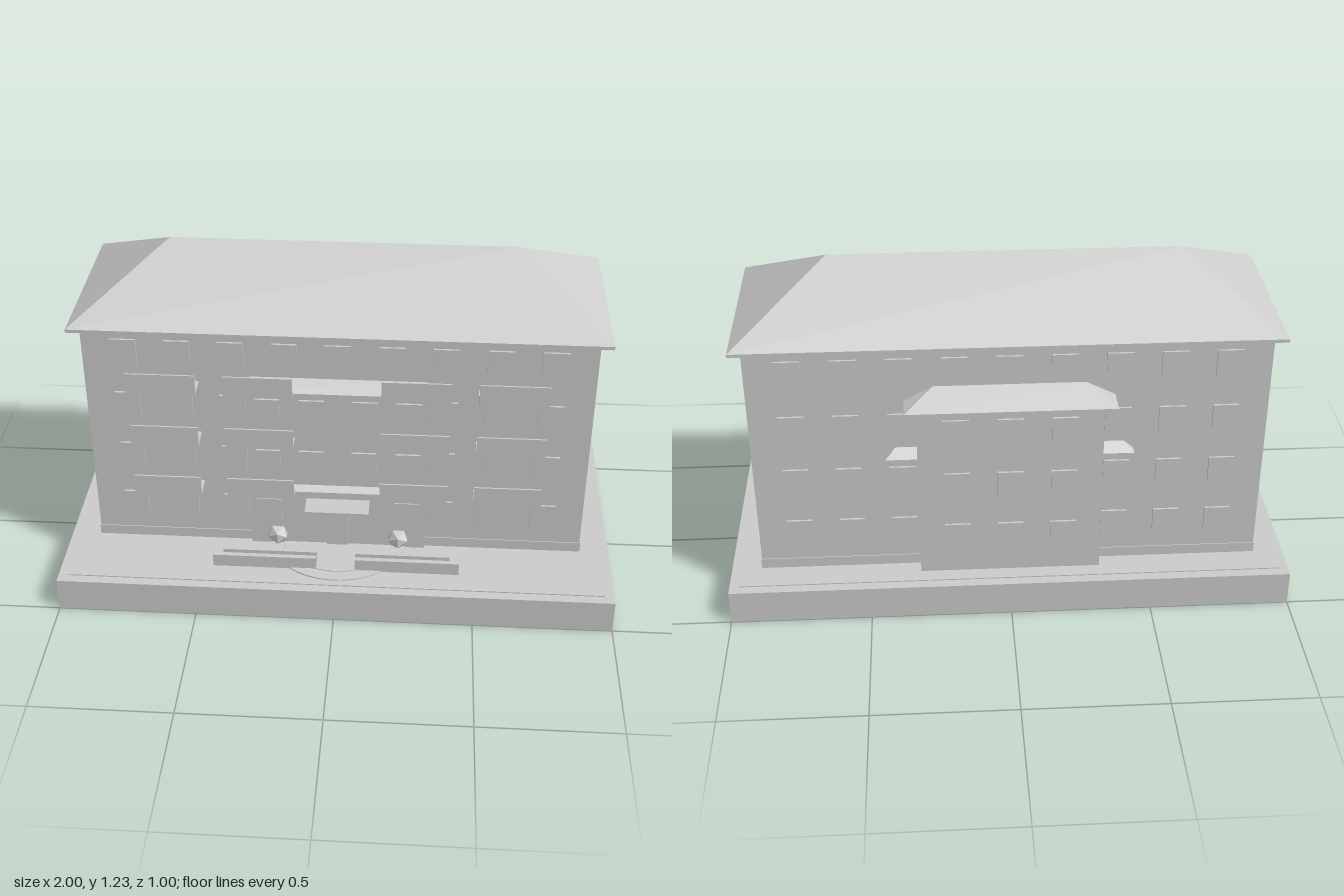
import * as THREE from 'three';

export function createModel() {
  const model = new THREE.Group();
  model.name = 'apartmentBlock';
  const stone = new THREE.MeshStandardMaterial({ color: 0xcccccc });
  stone.name = 'light grey';

  const add = (name, geometry) => {
    const mesh = new THREE.Mesh(geometry, stone);
    mesh.name = name;
    model.add(mesh);
    return mesh;
  };
  // Box given by its limits on each axis
  const box = (name, x0, x1, y0, y1, z0, z1) =>
    add(name, new THREE.BoxGeometry(x1 - x0, y1 - y0, z1 - z0)
      .translate((x0 + x1) / 2, (y0 + y1) / 2, (z0 + z1) / 2));
  // Hipped roof: a box whose top rectangle shrinks to the ridge
  const roof = (name, y0, y1, hx, z0, z1, topHx, topZ0, topZ1) => {
    const g = new THREE.BoxGeometry(1, 1, 1);
    const p = g.attributes.position;
    for (let i = 0; i < p.count; i++) {
      const top = p.getY(i) > 0;
      p.setXYZ(i, Math.sign(p.getX(i)) * (top ? topHx : hx), top ? y1 : y0,
        p.getZ(i) > 0 ? (top ? topZ1 : z1) : (top ? topZ0 : z0));
    }
    g.computeVertexNormals();
    add(name, g);
  };

  const G = 0.127, FRONT = 0.215, BACK = -0.36, SIDE = 0.89;
  const BAY_FRONT = 0.232, BAY_BACK = -0.413;

  // Ground slab and thin paving
  box('groundSlab', -1, 1, 0, G, -0.5, 0.5);
  box('lawn', -0.965, 0.965, G, G + 0.004, -0.465, 0.465);
  [[0.25, 0.225, 0.006], [0.2, 0.18, 0.009]].forEach(([rx, rz, h]) => {
    const path = new THREE.CylinderGeometry(1, 1, h, 32, 1, false, -Math.PI / 2, Math.PI);
    path.scale(rx, 1, rz).translate(0, G + 0.002 + h / 2, FRONT);
    add('curvedPath', path);
  });

  // Main block, plinth and bays
  box('walls', -SIDE, SIDE, G, 1.02, BACK, FRONT);
  box('plinth', -SIDE - 0.003, SIDE + 0.003, G, 0.17, BACK - 0.003, FRONT + 0.003);
  box('frontBay', -0.32, 0.32, G, 0.81, FRONT, BAY_FRONT);
  box('backBay', -0.32, 0.32, G, 0.81, BAY_BACK, BACK);

  // Roofs
  box('eaves', -0.93, 0.93, 1.02, 1.032, -0.395, 0.253);
  roof('mainRoof', 1.032, 1.23, 0.93, -0.395, 0.253, 0.61, -0.0735, -0.0725);
  box('backBayEaves', -0.36, 0.36, 0.808, 0.818, -0.455, BACK);
  roof('backBayRoof', 0.818, 0.87, 0.36, -0.455, BACK, 0.26, BACK - 0.001, BACK);
  box('frontBayEaves', -0.36, 0.36, 0.805, 0.812, FRONT, 0.265);
  roof('frontBayRoof', 0.812, 0.845, 0.36, FRONT, 0.265, 0.31, FRONT, FRONT + 0.001);
  box('entranceRoofEdge', -0.2, 0.2, 0.38, 0.387, FRONT, 0.258);
  roof('entranceRoof', 0.387, 0.41, 0.2, FRONT, 0.258, 0.16, FRONT, FRONT + 0.001);
  box('backSkirtEdge', -0.43, 0.43, 0.592, 0.6, -0.395, BACK);
  roof('backSkirtRoof', 0.6, 0.63, 0.43, -0.395, BACK, 0.395, BACK - 0.001, BACK);

  // Windows: four floors on every side
  const W = 0.045, T = 0.008, STEP = 0.186;
  [0.24, 0.455, 0.67, 0.885].forEach((y, floor) => {
    const y1 = y + 0.096;
    for (let k = -4; k <= 4; k++) {
      const x = k * STEP;
      const onBay = floor < 3 && Math.abs(k) < 2;
      const zb = onBay ? BAY_BACK : BACK;
      box('backWindow', x - W, x + W, y, y1, zb - T, zb);
      if (!onBay) box('frontWindow', x - W, x + W, y, y1, FRONT, FRONT + T);
    }
    if (floor < 3) {
      for (const x of [-0.25, -0.093, 0.093, 0.25]) {
        if (floor === 0 && Math.abs(x) < 0.1) continue;
        box('bayWindow', x - W, x + W, y, y1, BAY_FRONT, BAY_FRONT + T);
      }
    }
    for (const s of [-1, 1]) {
      for (const z of [0.03, -0.168]) {
        const x = s * (SIDE + T / 2);
        box('sideWindow', x - T / 2, x + T / 2, y, y1, z - 0.043, z + 0.043);
      }
    }
  });

  // Balconies: floor slab with a plain front panel
  for (const y of [0.38, 0.595, 0.808]) {
    for (const x of [-0.608, -0.273, 0.273, 0.608]) {
      box('balconyFloor', x - 0.12, x + 0.12, y, y + 0.012, FRONT, 0.29);
      box('balconyPanel', x - 0.12, x + 0.12, y, y + 0.08, 0.289, 0.295);
    }
  }

  // Entrance
  box('entranceCanopy', -0.115, 0.115, 0.326, 0.34, FRONT, 0.315);
  box('door', -0.04, 0.04, G, 0.326, BAY_FRONT, 0.24);

  // Low walls and shrubs beside the path
  for (const s of [-1, 1]) {
    for (const [end, z] of [[0.412, 0.336], [0.446, 0.372]]) {
      box('lowWall', Math.min(s * 0.07, s * end), Math.max(s * 0.07, s * end), G, 0.18, z - 0.009, z + 0.009);
    }
    const shrub = add('shrub', new THREE.IcosahedronGeometry(0.04, 0));
    shrub.position.set(s * 0.222, 0.175, 0.236);
  }
  return model;
}
